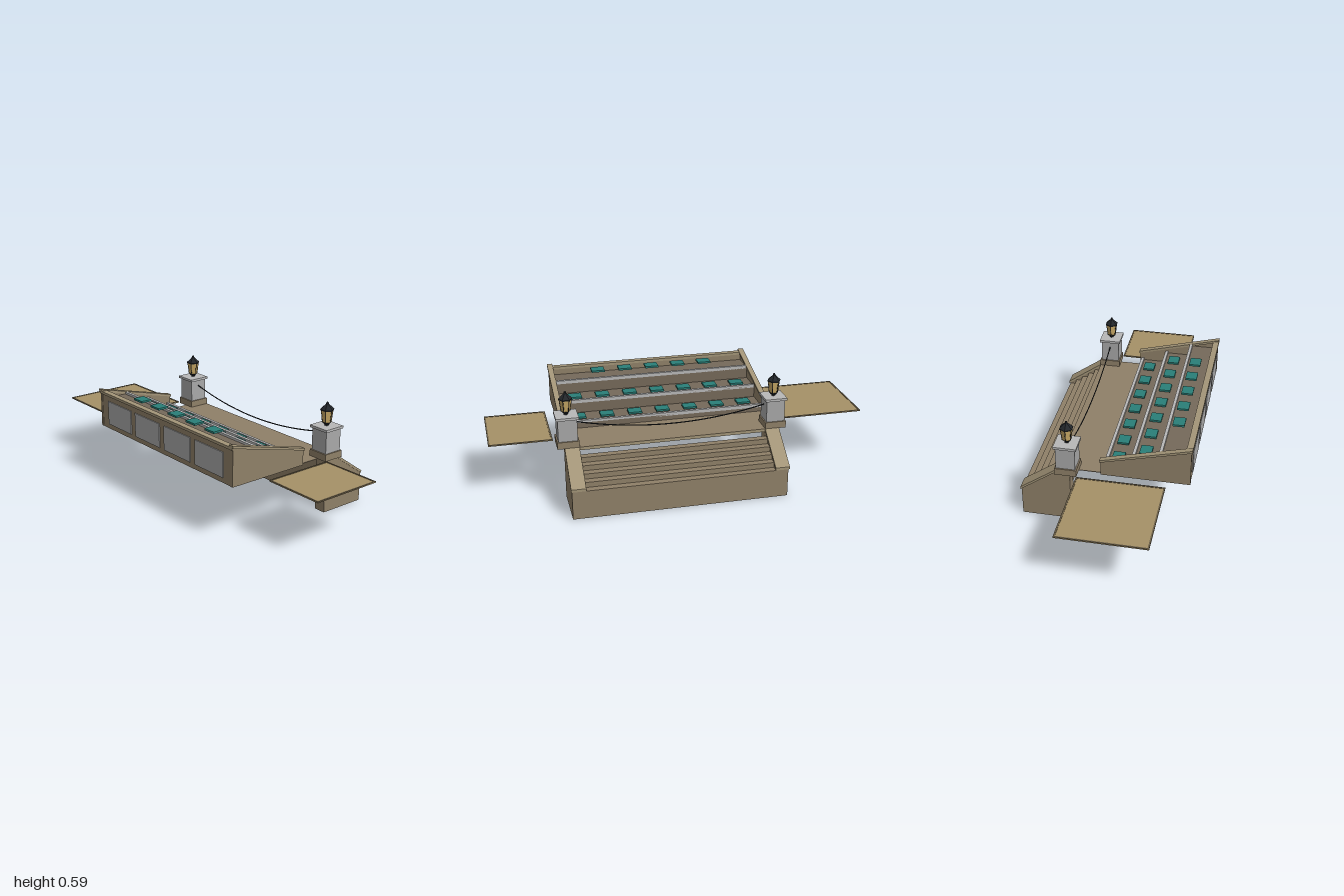
import * as THREE from 'three';

const mat = (color) => new THREE.MeshStandardMaterial({ color, side: THREE.DoubleSide });
const stone = mat(0x8f8068), capStone = mat(0xa39578), earth = mat(0xa59167), rim = mat(0x6b5f48);
const tierStone = mat(0x75695a), grey = mat(0xa8a8a8), paleGrey = mat(0xb8b8b8);
const teal = mat(0x2a7f78), iron = mat(0x22262a), glass = mat(0xc9aa66);

function add(parent, name, geometry, material) {
  const mesh = new THREE.Mesh(geometry, material);
  mesh.name = name;
  parent.add(mesh);
  return mesh;
}

// Box given by its limits on each axis
function box(parent, name, [x0, x1], [y0, y1], [z0, z1], material) {
  const g = new THREE.BoxGeometry(x1 - x0, y1 - y0, z1 - z0);
  g.translate((x0 + x1) / 2, (y0 + y1) / 2, (z0 + z1) / 2);
  return add(parent, name, g, material);
}

// Side profile of [z, y] points, extruded from x0 to x1
function slab(parent, name, points, x0, x1, material) {
  const shape = new THREE.Shape(points.map(([z, y]) => new THREE.Vector2(z, y)));
  const g = new THREE.ExtrudeGeometry(shape, { depth: x1 - x0, bevelEnabled: false });
  g.rotateY(-Math.PI / 2).translate(x1, 0, 0);
  return add(parent, name, g, material);
}

function createStand() {
  const stand = new THREE.Group();
  stand.name = 'seatingStand';
  // Sloped side walls with copings
  for (const [x0, x1] of [[-0.49, -0.475], [0.61, 0.625]]) {
    slab(stand, 'standSideWall', [[-0.017, 0.3], [0.43, 0.3], [0.43, 0.497], [-0.017, 0.379]], x0, x1, stone);
    slab(stand, 'standSideCoping', [[-0.022, 0.377], [0.435, 0.495], [0.435, 0.508], [-0.022, 0.389]],
      x0 - 0.008, x1 + 0.006, capStone);
  }
  // Front wall with coping and panels
  box(stand, 'standFrontWall', [-0.49, 0.625], [0.3, 0.49], [0.405, 0.428], stone);
  box(stand, 'standFrontCoping', [-0.49, 0.625], [0.484, 0.498], [0.403, 0.435], capStone);
  for (let i = 0; i < 4; i++) {
    const x = -0.417 + i * 0.2525;
    box(stand, 'frontPanel', [x, x + 0.214], [0.327, 0.455], [0.425, 0.433], grey);
  }
  // Three tiers: first seat x, seat count, z range, tread height, seat height
  const tiers = [
    [-0.235, 5, 0.27, 0.405, 0.453, 0.485],
    [-0.385, 7, 0.13, 0.27, 0.392, 0.397],
    [-0.385, 7, -0.01, 0.13, 0.332, 0.34],
  ];
  for (const [x0, count, z0, z1, y, seatY] of tiers) {
    box(stand, 'tierTread', [-0.475, 0.61], [y - 0.012, y], [z0, z1], tierStone);
    box(stand, 'tierRiser', [-0.475, 0.61], [0.3, y], [z0 + 0.002, z0 + 0.014], tierStone);
    box(stand, 'tierNosing', [-0.475, 0.61], [y - 0.006, y + 0.012], [z0, z0 + 0.016], paleGrey);
    for (let i = 0; i < count; i++) {
      const x = x0 + i * 0.15, zc = z0 + 0.063;
      box(stand, 'seat', [x - 0.036, x + 0.036], [seatY, seatY + 0.01], [zc - 0.03, zc + 0.03], teal);
    }
  }
  return stand;
}

function createStairs() {
  const stairs = new THREE.Group();
  stairs.name = 'stairs';
  // Cheek walls with sloped copings
  for (const [x0, x1] of [[-0.49, -0.425], [0.56, 0.625]]) {
    slab(stairs, 'stairCheek', [[-0.175, 0], [-0.175, 0.298], [-0.24, 0.298], [-0.43, 0.158], [-0.43, 0]], x0, x1, stone);
    slab(stairs, 'stairCoping', [[-0.24, 0.29], [-0.24, 0.304], [-0.435, 0.166], [-0.435, 0.152]],
      x0 - 0.006, x1 + 0.004, capStone);
  }
  // Solid steps descending toward the back
  for (let i = 0; i < 5; i++) {
    const z = -0.24 - i * 0.038;
    box(stairs, 'step', [-0.425, 0.56], [0, 0.26 - i * 0.0275], [z - 0.038, z], stone);
  }
  box(stairs, 'landingEdge', [-0.475, 0.61], [0.285, 0.3], [-0.242, -0.175], capStone);
  box(stairs, 'walkway', [-0.475, 0.61], [0.299, 0.302], [-0.242, 0], stone);
  return stairs;
}

function createLampPost() {
  const post = new THREE.Group();
  post.name = 'lampPost';
  const block = (name, w, y0, y1, m) => box(post, name, [-w / 2, w / 2], [y0, y1], [-w / 2, w / 2], m);
  block('pedestalBase', 0.112, 0.3, 0.336, stone);
  block('pedestalShaft', 0.098, 0.336, 0.452, grey);
  block('pedestalCap', 0.116, 0.452, 0.465, paleGrey);
  // Six-sided lantern with corners toward the sides
  const hex = (name, rTop, rBottom, y0, y1, m) => {
    const g = new THREE.CylinderGeometry(rTop, rBottom, y1 - y0, 6).toNonIndexed();
    g.computeVertexNormals();
    g.rotateY(Math.PI / 6).translate(0, (y0 + y1) / 2, 0);
    add(post, name, g, m);
  };
  hex('lanternFoot', 0.009, 0.011, 0.465, 0.475, iron);
  hex('lanternBase', 0.026, 0.014, 0.473, 0.484, iron);
  hex('lanternGlass', 0.031, 0.023, 0.484, 0.546, glass);
  hex('lanternEave', 0.036, 0.034, 0.544, 0.55, iron);
  hex('lanternRoof', 0.009, 0.036, 0.55, 0.575, iron);
  hex('lanternFinial', 0.005, 0.008, 0.575, 0.586, iron);
  for (let i = 0; i < 6; i++) {
    const a = (i + 0.5) * Math.PI / 3;
    const at = (r, y) => new THREE.Vector3(r * Math.sin(a), y, r * Math.cos(a));
    add(post, 'lanternBar', new THREE.TubeGeometry(new THREE.LineCurve3(at(0.023, 0.482), at(0.031, 0.548)), 1, 0.002, 4), iron);
  }
  return post;
}

// Thin ground pad with a raised rim
function createPad(x0, x1, z0, z1) {
  const pad = new THREE.Group();
  pad.name = 'groundPad';
  const t = 0.008;
  box(pad, 'padSurface', [x0, x1], [0.301, 0.305], [z0, z1], earth);
  for (const z of [z0, z1 - t]) box(pad, 'padRim', [x0, x1], [0.3, 0.307], [z, z + t], rim);
  for (const x of [x0, x1 - t]) box(pad, 'padRim', [x, x + t], [0.3, 0.307], [z0 + t, z1 - t], rim);
  return pad;
}

export function createModel() {
  const model = new THREE.Group();
  model.name = 'steppedStand';
  model.add(createStand(), createStairs());
  for (const x of [-0.477, 0.609]) {
    const post = createLampPost();
    post.position.set(x, 0, -0.187);
    model.add(post);
  }
  // Hanging cable between the pedestals
  const cable = new THREE.QuadraticBezierCurve3(
    new THREE.Vector3(-0.43, 0.42, -0.187), new THREE.Vector3(0.066, 0.3, -0.187), new THREE.Vector3(0.562, 0.42, -0.187));
  add(model, 'cable', new THREE.TubeGeometry(cable, 32, 0.003, 6), iron);
  model.add(createPad(-1, -0.542, -0.13, 0.315), createPad(0.675, 1, -0.13, 0.248));
  return model;
}
